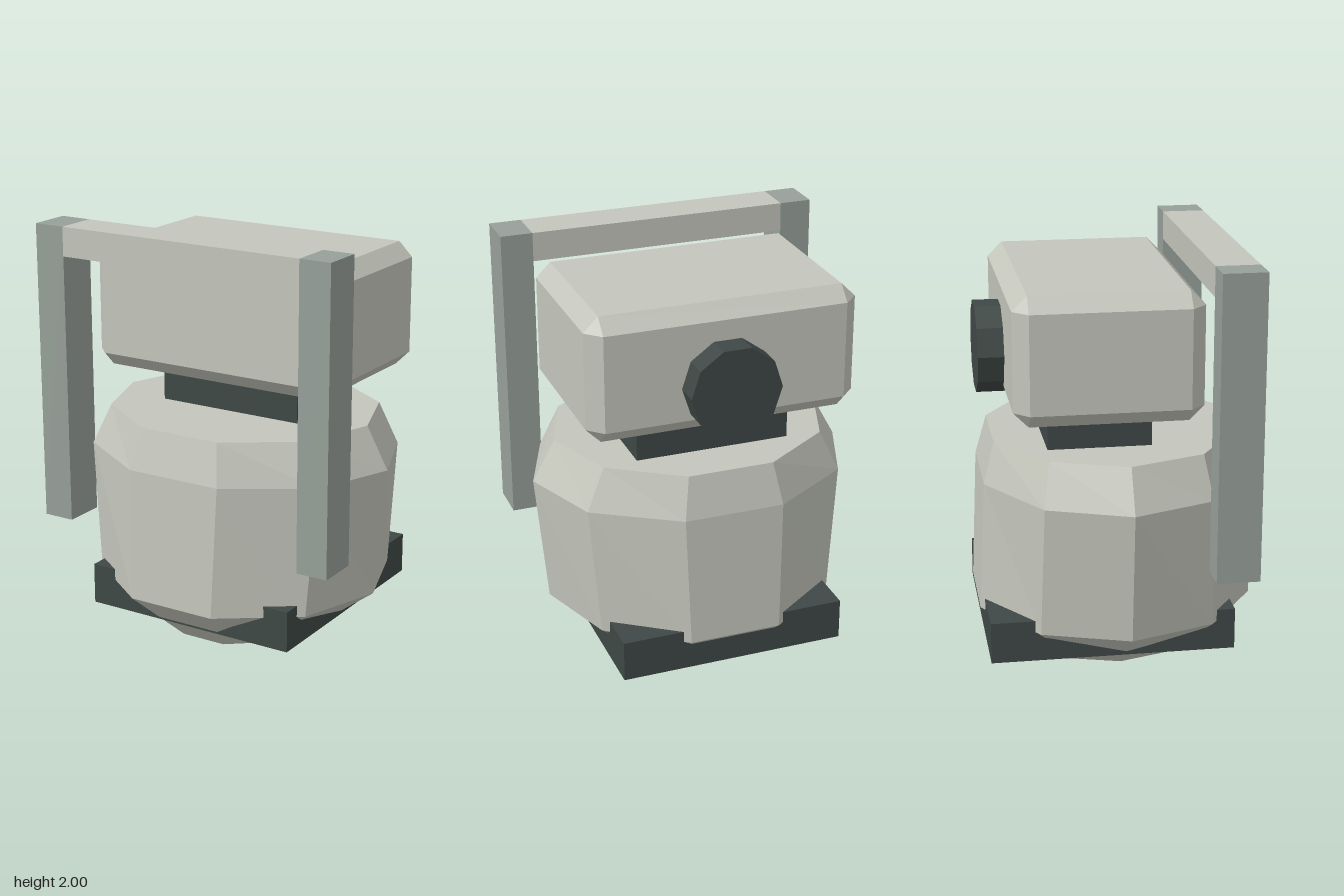
import * as THREE from 'three';
import { ConvexGeometry } from 'three/addons/geometries/ConvexGeometry.js';

const material = (color) => new THREE.MeshStandardMaterial({ color, flatShading: true });

export function createModel() {
  const model = new THREE.Group();
  const pale = material(0xc4c6bc);
  const grey = material(0x97a09a);
  const dark = material(0x3f4846);

  const add = (name, geometry, mat, x = 0, y = 0, z = 0) => {
    const mesh = new THREE.Mesh(geometry, mat);
    mesh.name = name;
    mesh.position.set(x, y, z);
    model.add(mesh);
    return mesh;
  };

  // Box given by its lower and upper corners
  const addBox = (name, mat, [x0, y0, z0], [x1, y1, z1]) =>
    add(name, new THREE.BoxGeometry(x1 - x0, y1 - y0, z1 - z0), mat,
      (x0 + x1) / 2, (y0 + y1) / 2, (z0 + z1) / 2);

  // Barrel body: ten-sided elliptical rings [height, x radius, z radius]
  const rings = [[0, 0.37, 0.405], [0.265, 0.72, 0.695], [0.9, 0.78, 0.665], [1.1, 0.67, 0.61]];
  const profile = [
    new THREE.Vector2(0, 0),
    ...rings.map(([y, rx]) => new THREE.Vector2(rx, y)),
    new THREE.Vector2(0, 1.1),
  ];
  const barrel = new THREE.LatheGeometry(profile, 10, Math.PI / 2);
  const pos = barrel.attributes.position;
  for (let i = 0; i < pos.count; i++) {
    const ring = rings.find(([y]) => Math.abs(y - pos.getY(i)) < 1e-4);
    pos.setZ(i, pos.getZ(i) * ring[2] / ring[1]);
  }
  barrel.computeVertexNormals();
  add('body', barrel, pale);

  // Base tray that the body bulges through
  addBox('baseTray', dark, [-0.55, 0.12, -0.64], [0.55, 0.32, 0.52]);

  // Neck block
  addBox('neck', dark, [-0.375, 1.08, -0.345], [0.375, 1.3, 0.145]);

  // Head: box with chamfered edges and triangular corners
  const half = [0.65, 0.302, 0.435];
  const chamfer = 0.07;
  const corners = [];
  for (const sx of [-1, 1]) for (const sy of [-1, 1]) for (const sz of [-1, 1]) {
    for (let axis = 0; axis < 3; axis++) {
      const [x, y, z] = half.map((h, i) => (i === axis ? h : h - chamfer));
      corners.push(new THREE.Vector3(sx * x, sy * y, sz * z));
    }
  }
  add('head', new ConvexGeometry(corners), pale, 0, 1.582, -0.087);

  // Ten-sided knob on the back of the head
  const knob = new THREE.CylinderGeometry(0.218, 0.218, 0.145, 10, 1, false, Math.PI / 2);
  knob.rotateX(Math.PI / 2);
  add('rearKnob', knob, dark, 0, 1.51, -0.572);

  // Front frame: two hanging arms joined by a top bar
  for (const [name, side] of [['leftArm', 1], ['rightArm', -1]]) {
    add(name, new THREE.BoxGeometry(0.155, 1.445, 0.205), grey, side * 0.71, 1.2775, 0.478);
  }
  addBox('topBar', pale, [-0.633, 1.86, 0.3755], [0.633, 2, 0.5805]);

  return model;
}
